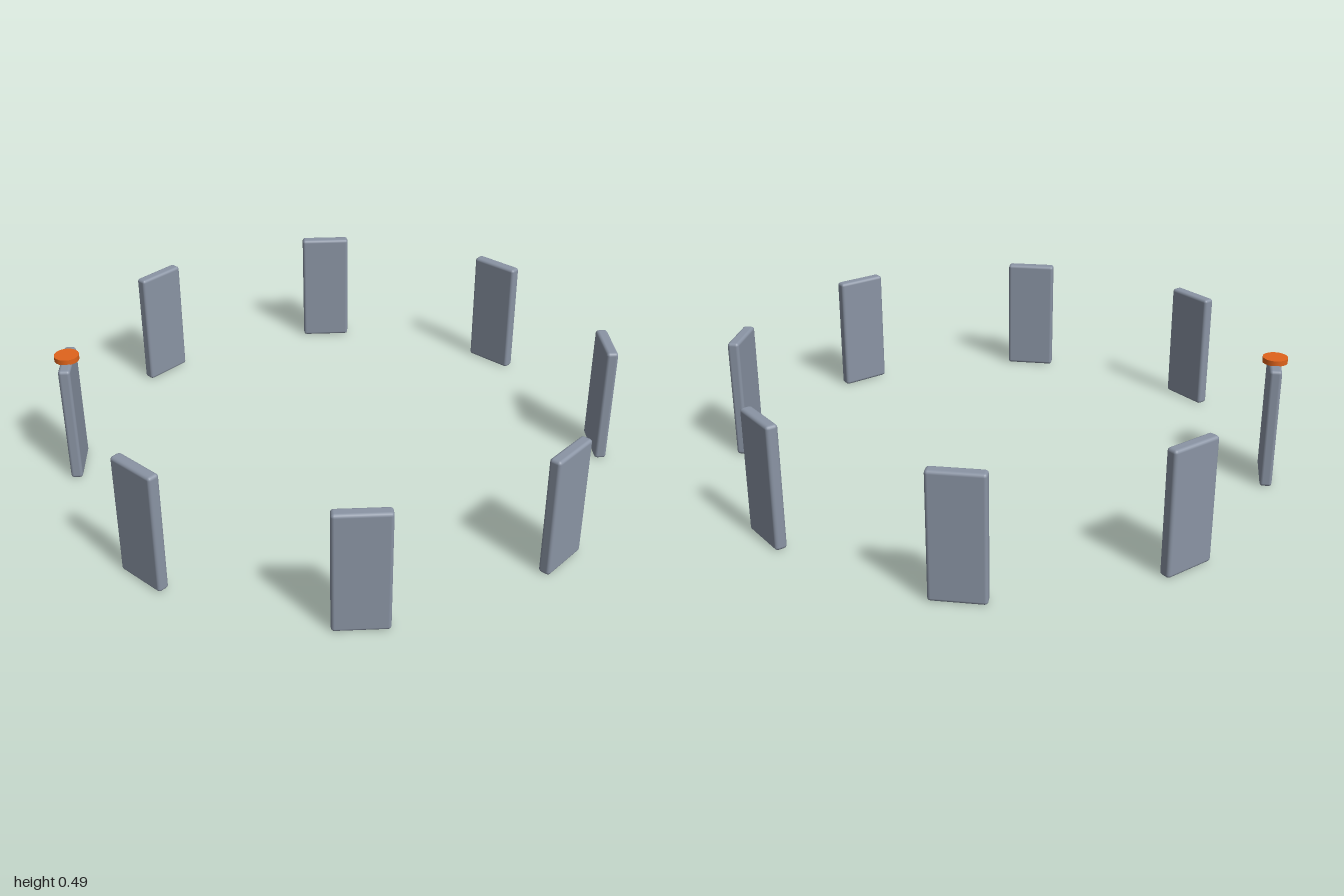
import * as THREE from 'three';
import { RoundedBoxGeometry } from 'three/addons/geometries/RoundedBoxGeometry.js';

const COUNT = 8, RADIUS = 1.018, SHIFT = 0.01;
const WIDTH = 0.199, HEIGHT = 0.47, DEPTH = 0.045, BEVEL = 0.012;
const MARKED = 5; // panel that carries the disc

export function createModel() {
  const model = new THREE.Group();
  model.name = 'panelRing';

  const panelMaterial = new THREE.MeshStandardMaterial({ color: 0x8a94a4 });
  const discMaterial = new THREE.MeshStandardMaterial({ color: 0xe0641c });
  const panelGeometry = new RoundedBoxGeometry(WIDTH, HEIGHT, DEPTH, 2, BEVEL);

  // Upright panels, each tangent to the circle and shifted slightly sideways
  for (let i = 0; i < COUNT; i++) {
    const mount = new THREE.Group();
    mount.name = `panelMount${i + 1}`;
    mount.rotation.y = ((i + 0.5) / COUNT) * Math.PI * 2;
    model.add(mount);

    const panel = new THREE.Mesh(panelGeometry, panelMaterial);
    panel.name = `panel${i + 1}`;
    panel.position.set(SHIFT, HEIGHT / 2, RADIUS);
    mount.add(panel);

    // Marker disc lying on the top edge of one panel
    if (i === MARKED) {
      const disc = new THREE.Mesh(new THREE.CylinderGeometry(0.046, 0.046, 0.02, 24), discMaterial);
      disc.name = 'markerDisc';
      disc.position.set(SHIFT, HEIGHT + 0.008, RADIUS);
      mount.add(disc);
    }
  }
  return model;
}
